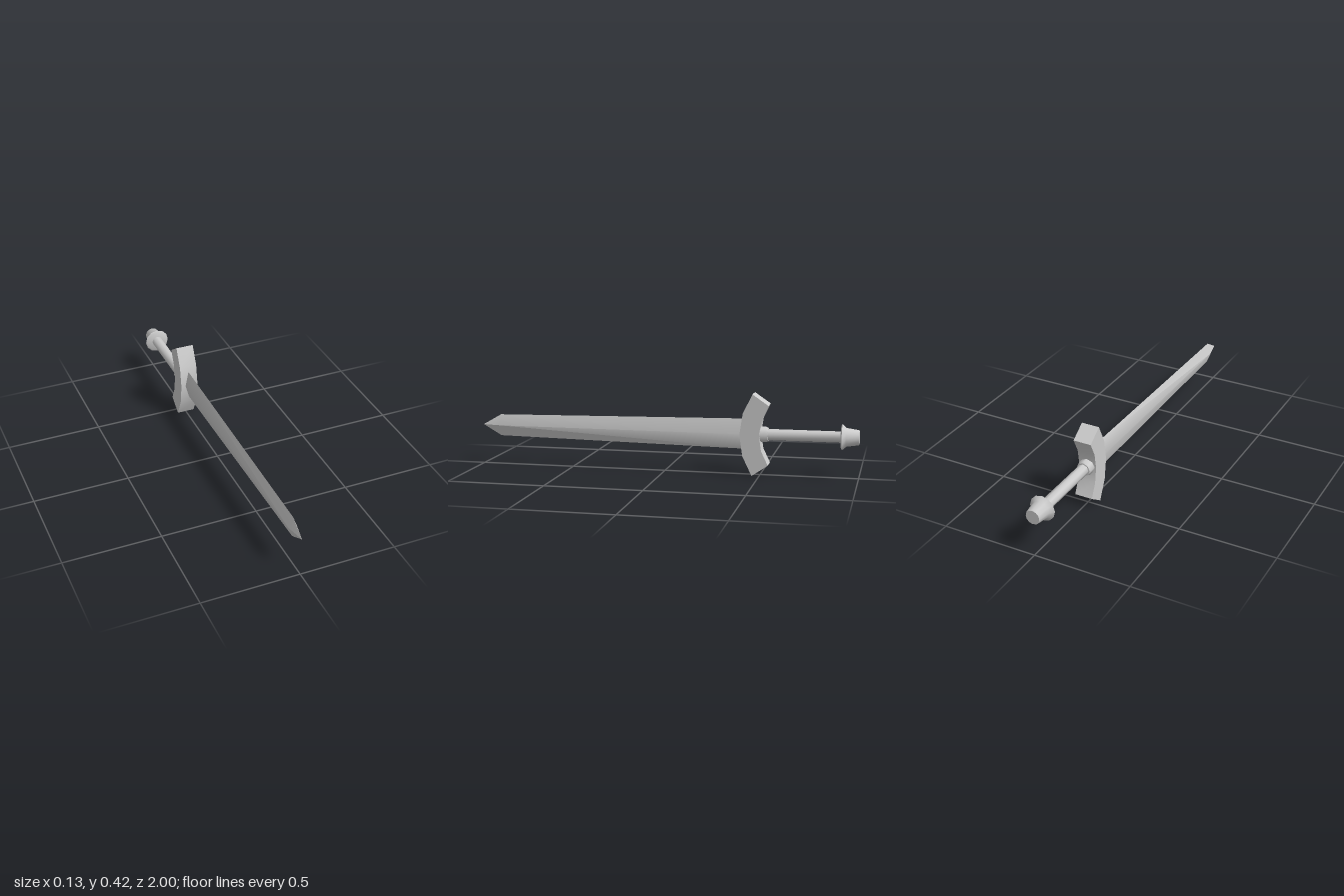
import * as THREE from 'three';
import { toCreasedNormals } from 'three/addons/utils/BufferGeometryUtils.js';

const AXIS_Y = 0.21; // height of the sword's long axis

export function createModel() {
  const group = new THREE.Group();
  const material = new THREE.MeshStandardMaterial({ color: 0xcccccc });

  const add = (name, geometry) => {
    const mesh = new THREE.Mesh(geometry, material);
    mesh.name = name;
    mesh.position.y = AXIS_Y;
    group.add(mesh);
  };

  // Turned part along the long axis; profile is [radius, z] running towards -z
  const turned = (name, profile, sides) => {
    const points = profile.map(([r, z]) => new THREE.Vector2(r, -z));
    const geometry = new THREE.LatheGeometry(points, sides).rotateX(-Math.PI / 2);
    add(name, toCreasedNormals(geometry, 0.9));
  };

  // Blade: diamond cross-sections [z, half thickness, half height], closing to a point
  const sections = [[-0.45, 0.023, 0.079], [0.9, 0.022, 0.057], [1, 0, 0]];
  const positions = [];
  const indices = [];
  for (const [z, w, h] of sections) {
    positions.push(w, 0, z, 0, h, z, -w, 0, z, 0, -h, z);
  }
  for (let s = 0; s < sections.length - 1; s++) {
    for (let i = 0; i < 4; i++) {
      const a = s * 4 + i;
      const b = s * 4 + (i + 1) % 4;
      indices.push(a, b, b + 4);
      if (s === 0) indices.push(a, b + 4, a + 4);
    }
  }
  indices.push(0, 2, 1, 0, 3, 2); // hidden root of the blade
  const blade = new THREE.BufferGeometry();
  blade.setAttribute('position', new THREE.Float32BufferAttribute(positions, 3));
  blade.setIndex(indices);
  add('blade', toCreasedNormals(blade, 0.7));

  // Guard: a curved bar, its arc bending back towards the grip
  const arc = (radius, direction) => {
    const points = [];
    for (let i = -2; i <= 2; i++) {
      const angle = direction * i * 0.3;
      points.push(new THREE.Vector2(-0.769 + radius * Math.cos(angle), radius * Math.sin(angle)));
    }
    return points;
  };
  const guardShape = new THREE.Shape([...arc(0.372, 1), ...arc(0.272, -1)]);
  const guard = new THREE.ExtrudeGeometry(guardShape, { depth: 0.094, bevelEnabled: false });
  guard.translate(0, 0, -0.047).rotateY(-Math.PI / 2);
  add('guard', toCreasedNormals(guard, 0.6));

  // Collar, grip and flared pommel
  turned('collar', [[0, -0.48], [0.04, -0.48], [0.04, -0.53], [0.035, -0.54], [0, -0.54]], 8);
  turned('grip', [[0.029, -0.48], [0.029, -0.93]], 8);
  turned('pommel', [
    [0, -0.91], [0.058, -0.908], [0.067, -0.914], [0.048, -0.935], [0.039, -0.995], [0.036, -1], [0, -1],
  ], 12);

  return group;
}
